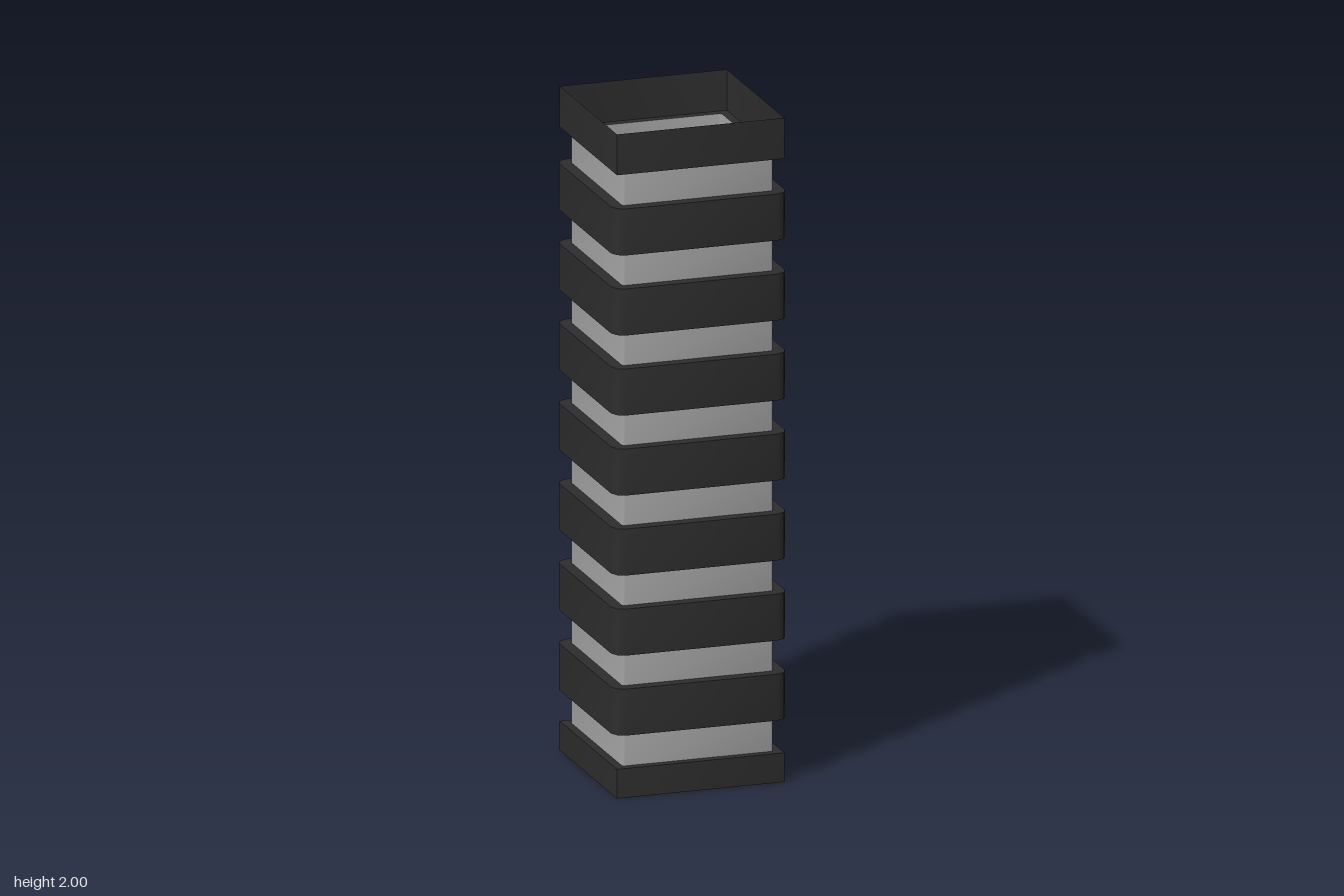
import * as THREE from 'three';
import { toCreasedNormals } from 'three/addons/utils/BufferGeometryUtils.js';

// Square ring outline, three points per corner: a = side, b = where the corner starts, c = corner point
const outline = (a, b, c) => {
  const pts = [];
  for (let q = 0; q < 4; q++) {
    for (const [x, z] of [[a, b], [c, c], [b, a]]) {
      const s = [[x, z], [-z, x], [-x, -z], [z, -x]][q];
      pts.push(s);
    }
  }
  return pts;
};
const INNER = outline(0.23, 0.222, 0.2275);
const COLLAR = outline(0.255, 0.2545, 0.2549);
const RIB = outline(0.265, 0.23, 0.254);

// Thin open sheet lofted through a list of [outline, y], bottom to top
function sheet(sections) {
  const pos = [], idx = [];
  for (const [ring, y] of sections) for (const [x, z] of ring) pos.push(x, y, z);
  const n = INNER.length;
  for (let s = 0; s < sections.length - 1; s++) {
    for (let i = 0; i < n; i++) {
      const a = s * n + i, b = s * n + (i + 1) % n;
      idx.push(a, a + n, b, b, a + n, b + n);
    }
  }
  const g = new THREE.BufferGeometry();
  g.setAttribute('position', new THREE.Float32BufferAttribute(pos, 3));
  g.setIndex(idx);
  return toCreasedNormals(g.toNonIndexed(), 0.87);
}

export function createModel() {
  const group = new THREE.Group();
  const dark = new THREE.MeshStandardMaterial({ color: 0x2d2d2d, side: THREE.DoubleSide });
  dark.name = 'charcoal';
  const grey = new THREE.MeshStandardMaterial({ color: 0xa5a5a5, side: THREE.DoubleSide });
  grey.name = 'light grey';
  const add = (name, mat, sections) => {
    const m = new THREE.Mesh(sheet(sections), mat);
    m.name = name;
    group.add(m);
  };

  const count = 7, pitch = 0.241, height = 0.14, first = 0.19;
  const collarLow = 0.088, collarHigh = 1.877;

  // End collars with a ledge in to the neck
  add('bottomCollar', dark, [[COLLAR, 0], [COLLAR, collarLow], [INNER, collarLow]]);
  add('topCollar', dark, [[INNER, collarHigh], [COLLAR, collarHigh], [COLLAR, 2]]);

  // Hollow ribs and the pale necks between them
  let y = collarLow;
  for (let i = 0; i < count; i++) {
    const y0 = first + i * pitch, y1 = y0 + height;
    add('neck' + (i + 1), grey, [[INNER, y], [INNER, y0]]);
    add('rib' + (i + 1), dark, [[INNER, y0], [RIB, y0], [RIB, y1], [INNER, y1]]);
    y = y1;
  }
  add('neck' + (count + 1), grey, [[INNER, y], [INNER, collarHigh]]);
  return group;
}
